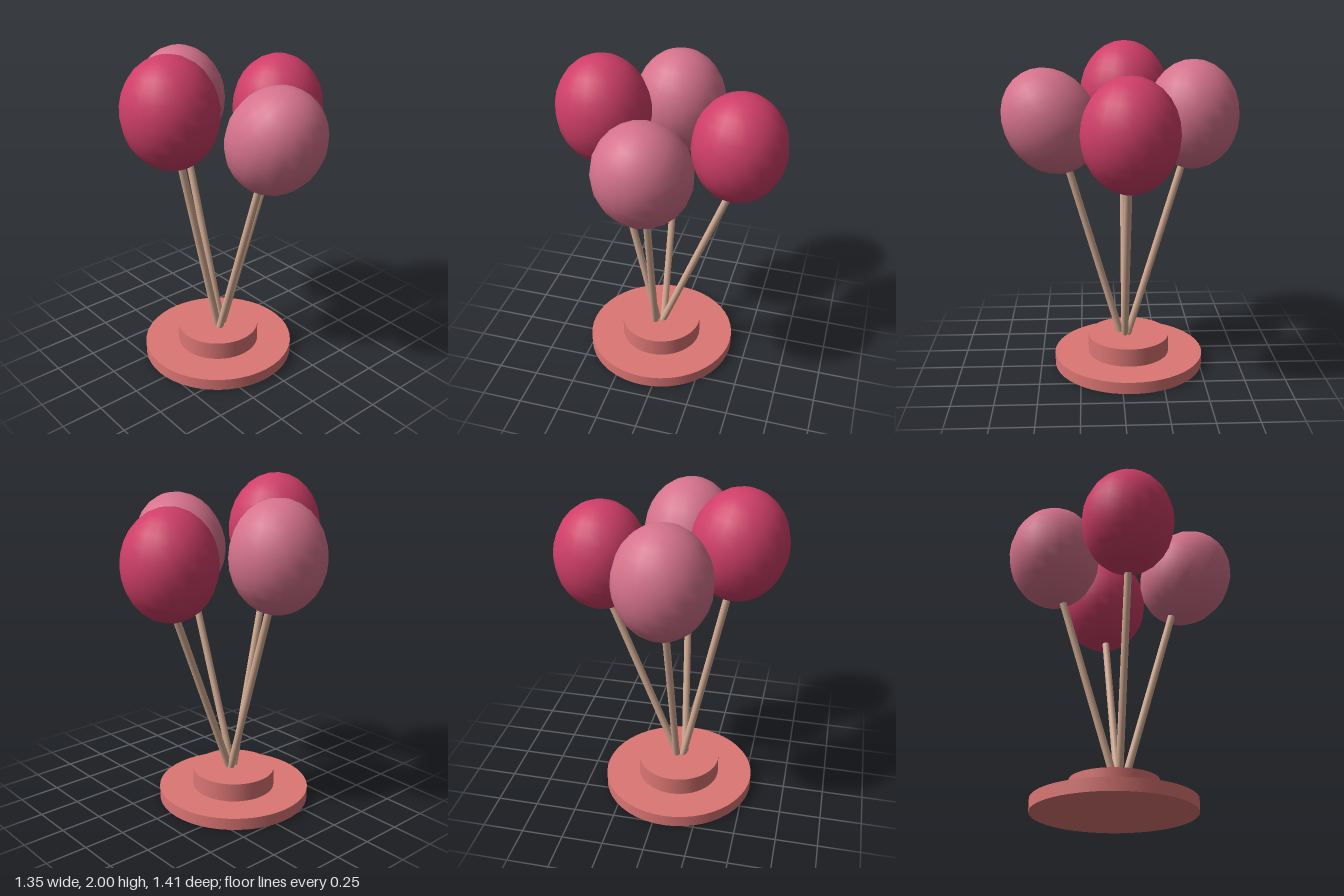
import * as THREE from 'three';

const UP = new THREE.Vector3(0, 1, 0);

export function createModel() {
  const model = new THREE.Group();
  model.name = 'balloonStand';

  const material = (name, color) => {
    const m = new THREE.MeshStandardMaterial({ color });
    m.name = name;
    return m;
  };
  const coral = material('coral base', 0xdb7674);
  const crimson = material('crimson balloon', 0xcf3e68);
  const pink = material('pink balloon', 0xd5728c);
  const wood = material('tan stick', 0xd6ad95);

  const add = (name, geometry, mat, parent = model) => {
    const mesh = new THREE.Mesh(geometry, mat);
    mesh.name = name;
    parent.add(mesh);
    return mesh;
  };

  // Two-step round base
  const disc = (name, radius, bottom, top) => {
    add(name, new THREE.CylinderGeometry(radius, radius, top - bottom, 48), coral)
      .position.set(-0.07, (top + bottom) / 2, -0.053);
  };
  disc('baseDisc', 0.467, 0, 0.073);
  disc('baseStep', 0.254, 0.073, 0.187);

  // Balloons on sticks: centre, tilt about x and z, stick foot and tip
  const balloons = [
    { name: 'right', mat: crimson, at: [-0.403, 1.676, -0.04], tilt: [0, 0.1],
      foot: [-0.085, 0.15, -0.03], tip: [-0.36, 1.42, -0.03] },
    { name: 'left', mat: crimson, at: [0.398, 1.543, -0.04], tilt: [0, 0],
      foot: [-0.065, 0.15, -0.03], tip: [0.38, 1.3, -0.03] },
    { name: 'front', mat: pink, at: [-0.033, 1.557, 0.412], tilt: [0.53, 0],
      foot: [-0.1, 0.15, -0.01], tip: [-0.05, 1.32, 0.325] },
    { name: 'back', mat: pink, at: [-0.052, 1.59, -0.432], tilt: [0, 0],
      foot: [-0.052, 0.15, -0.035], tip: [-0.052, 1.35, -0.39] },
  ];
  const balloonGeometry = new THREE.SphereGeometry(1, 20, 14).scale(0.277, 0.324, 0.277);

  for (const { name, mat, at, tilt, foot, tip } of balloons) {
    const group = new THREE.Group();
    group.name = `${name}Balloon`;
    model.add(group);

    const balloon = add('balloon', balloonGeometry, mat, group);
    balloon.position.set(...at);
    balloon.rotation.set(tilt[0], 0, tilt[1]);

    const a = new THREE.Vector3(...foot);
    const b = new THREE.Vector3(...tip);
    const stick = add('stick', new THREE.CylinderGeometry(0.022, 0.022, a.distanceTo(b), 12), wood, group);
    stick.position.copy(a).lerp(b, 0.5);
    stick.quaternion.setFromUnitVectors(UP, b.sub(a).normalize());
  }

  return model;
}
